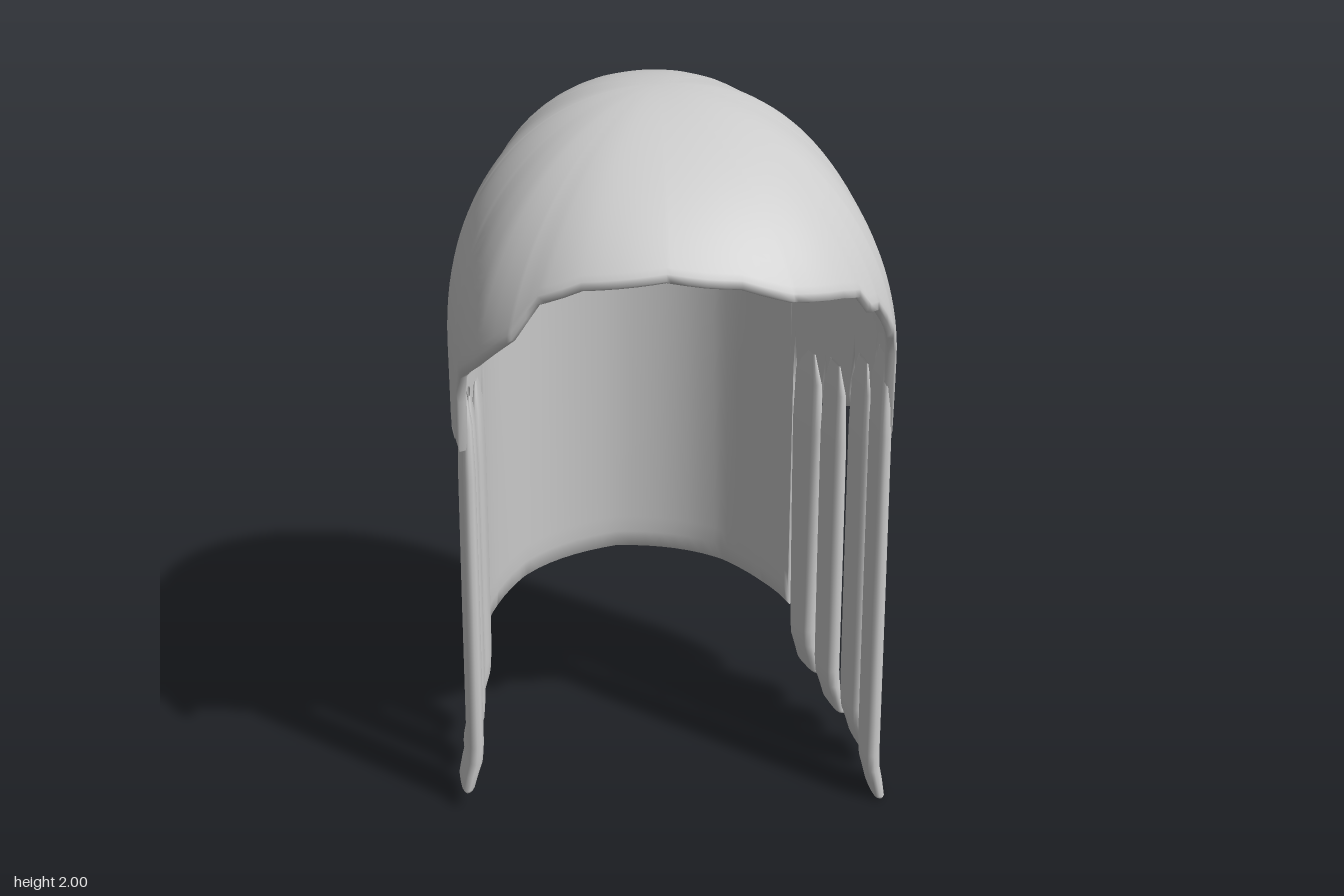
import * as THREE from 'three';
import { mergeVertices } from 'three/addons/utils/BufferGeometryUtils.js';

const grey = () => new THREE.MeshStandardMaterial({ color: 0xcccccc, side: THREE.DoubleSide });
const rad = THREE.MathUtils.degToRad;
const WALL_Y = 1.35, DOME_H = 0.65, THICK = 0.03;

// Egg-shaped plan: radius by angle from the front (degrees)
const plan = new THREE.CubicInterpolant(
  [0, 20, 32, 41, 51, 55, 71, 90, 112, 130, 145, 156, 180],
  [0.76, 0.76, 0.75, 0.72, 0.69, 0.675, 0.605, 0.56, 0.525, 0.553, 0.575, 0.59, 0.6], 1);

// Lower edge heights by angle: brim, notches between strands, then the back panel
const notches = [[84, 1.1], [86, 1.24], [88.5, 1.05], [100.5, 1], [102, 1.12], [103.5, 1],
  [117, 1], [118.7, 1.14], [119.7, 1], [121.5, 0.29], [135, 0.305], [150, 0.33], [180, 0.35]];
const leftEdge = [[0, 1.69], [8, 1.68], [19, 1.635], [32, 1.61], [38, 1.59], [41, 1.54], [45, 1.53],
  [51, 1.44], [55, 1.36], [57, 1.1], [64, 1.1], [67, 1.35], [70, 1.1], ...notches];
const rightEdge = [[0, 1.69], [9, 1.705], [28, 1.68], [38, 1.63], [43, 1.53], [54, 1.42],
  [64, 1.34], [68, 1.25], [70, 1.1], ...notches];

function edgeHeight(deg) {
  const list = deg >= 0 ? leftEdge : rightEdge, a = Math.abs(deg);
  const i = Math.max(1, list.findIndex(p => p[0] >= a));
  const [a0, y0] = list[i - 1], [a1, y1] = list[i];
  return THREE.MathUtils.lerp(y0, y1, (a - a0) / (a1 - a0));
}

// Point of the hood at an angle and a fraction s from crown to edge, sunk inwards by depth
function hoodPoint(deg, s, depth) {
  const c = Math.cos(rad(deg)), edge = edgeHeight(deg);
  const power = c > 0 ? 2.2 - 0.3 * c : 2.2;
  const arcEnd = edge >= WALL_Y ? Math.acos(((edge - WALL_Y) / DOME_H) ** (power / 2)) : Math.PI / 2;
  const arcLength = arcEnd * DOME_H;
  const d = s * (arcLength + Math.max(0, WALL_Y - edge));
  const arc = Math.min(d, arcLength) / DOME_H;
  const drop = Math.max(0, d - arcLength);
  const cosArc = Math.max(0, Math.cos(arc));
  const flare = c < 0 ? 0.09 * c * c * drop : -0.02 * drop;
  const r = plan.evaluate(Math.abs(deg))[0] * (Math.sin(arc) ** (2 / power) + flare)
    - depth * Math.sin(arc);
  const y = WALL_Y + DOME_H * cosArc ** (2 / power) - drop - depth * cosArc;
  return [r * Math.sin(rad(deg)), y, r * c];
}

// Grid of rings to an indexed surface
function skin(columns, closed) {
  const n = columns.length, m = columns[0].length, index = [];
  for (let i = 0; i < (closed ? n : n - 1); i++) {
    for (let j = 0; j < m - 1; j++) {
      const a = i * m + j, d = ((i + 1) % n) * m + j;
      index.push(a, a + 1, d + 1, a, d + 1, d);
    }
  }
  let g = new THREE.BufferGeometry();
  g.setAttribute('position', new THREE.Float32BufferAttribute(columns.flat(2), 3));
  g.setIndex(index);
  g = mergeVertices(g, 1e-5);
  g.computeVertexNormals();
  return g;
}

// Crown and back panel in one thick shell: outside down, round the rim, inside up
function hoodGeometry() {
  const angles = new Set();
  for (let a = -180; a < 180; a += 4) angles.add(a);
  leftEdge.forEach(p => p[0] < 180 && angles.add(p[0]));
  rightEdge.forEach(p => p[0] < 180 && angles.add(-p[0]));
  const rows = 40;
  const columns = [...angles].sort((a, b) => a - b).map(deg => {
    const column = [];
    for (let j = 0; j <= rows; j++) column.push(hoodPoint(deg, j / rows, j === rows ? 0.006 : 0));
    for (let j = rows; j >= 0; j--) column.push(hoodPoint(deg, j / rows, j === rows ? THICK - 0.006 : THICK));
    return column;
  });
  return skin(columns, true);
}

// Hanging strand: rounded flat section, turned-out foot
function strandGeometry({ x, z, bottom, top, wide, narrow, slope, kick }, side) {
  // height, outward shift, half width, half thickness
  const sections = [
    [top + 0.08, 0, wide * 0.5, 0.004], [top, 0, wide * 0.93, 0.016], [top - 0.15, 0, wide, 0.021],
    [(top + bottom) / 2, 0, (wide + narrow) / 2, 0.022], [bottom + 0.14, 0, narrow, 0.022],
    [bottom + 0.09, kick * 0.15, narrow, 0.022], [bottom + 0.05, kick * 0.6, narrow, 0.021],
    [bottom + 0.008, kick, narrow, 0.019], [bottom, kick, narrow * 0.93, 0.014], [bottom, kick, 0, 0],
  ];
  const columns = [], sides = 16;
  for (let i = 0; i < sides; i++) {
    const a = side * i / sides * Math.PI * 2;
    const ca = Math.cos(a), sa = Math.sin(a);
    const across = Math.sign(sa) * Math.abs(sa) ** 0.6, out = Math.sign(ca) * Math.abs(ca) ** 0.7;
    columns.push(sections.map(([y, shift, w, t]) => {
      const dz = -across * w;
      return [side * (x + shift + out * t + dz * slope), y + shift * 0.4 * -out * (t > 0 ? 1 : 0) * 0.5, z + dz];
    }));
  }
  // the section runs clockwise from above, so reverse it to face outwards
  return skin(columns.reverse(), true);
}

export function createModel() {
  const model = new THREE.Group();
  model.name = 'hairHood';
  const add = (name, geometry) => {
    const mesh = new THREE.Mesh(geometry, grey());
    mesh.name = name;
    model.add(mesh);
  };
  add('crownAndBackPanel', hoodGeometry());

  const strands = [
    { x: 0.54, z: 0.302, bottom: 0.005, top: 1.26, wide: 0.07, narrow: 0.068, slope: -0.03, kick: 0.02 },
    { x: 0.537, z: 0.127, bottom: 0.055, top: 1.16, wide: 0.074, narrow: 0.074, slope: 0.04, kick: 0.025 },
    { x: 0.505, z: -0.04, bottom: 0.08, top: 1.08, wide: 0.064, narrow: 0.061, slope: 0.13, kick: 0.025 },
    { x: 0.467, z: -0.18, bottom: 0.135, top: 1.06, wide: 0.072, narrow: 0.056, slope: 0.2, kick: 0.022 },
  ];
  strands.forEach((strand, i) => {
    add(`leftStrand${i + 1}`, strandGeometry(strand, 1));
    // the front strand hangs on the left only
    if (i > 0) add(`rightStrand${i}`, strandGeometry(strand, -1));
  });
  return model;
}
